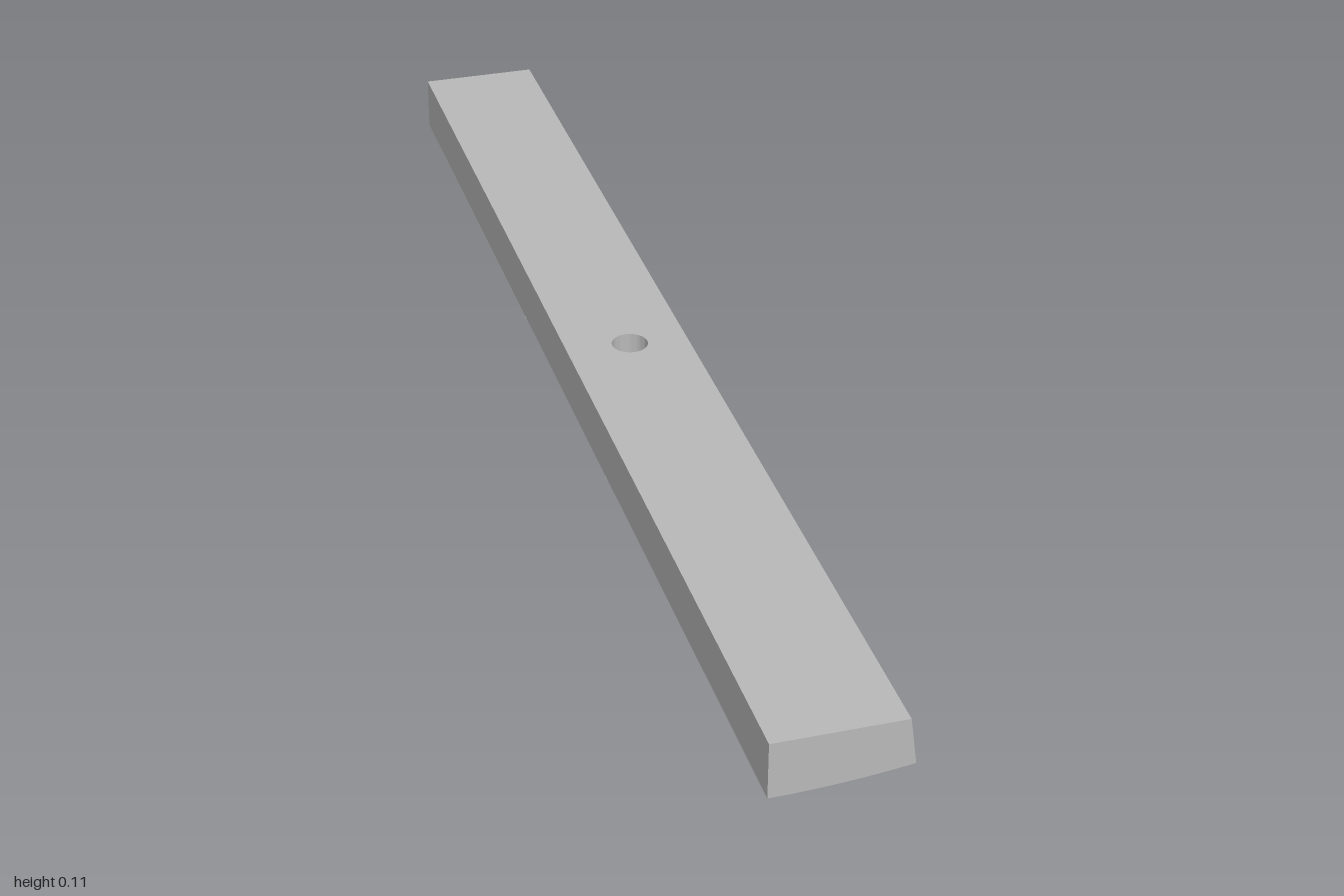
import * as THREE from 'three';
import { toCreasedNormals } from 'three/addons/utils/BufferGeometryUtils.js';

const TOP = 0.115, HOLE_R = 0.028, MID = 0.05, STEPS = 12;

// Height of the gently curved underside at a given x
const under = (x) => 0.028 + 0.014 * ((x + 0.1) / 0.2) ** 2;

// Extrudes a plan (x, z) downwards, then places its upper and lower vertices by rule
function plan(shape, place) {
  const geo = new THREE.ExtrudeGeometry(shape, { depth: 1, bevelEnabled: false, curveSegments: 16 });
  geo.rotateX(Math.PI / 2);
  const p = geo.attributes.position;
  for (let i = 0; i < p.count; i++) {
    const [x, y] = place(p.getX(i), p.getY(i) > -0.5);
    p.setX(i, x);
    p.setY(i, y);
  }
  return toCreasedNormals(geo, 0.5);
}

export function createModel() {
  const group = new THREE.Group();
  const grey = new THREE.MeshStandardMaterial({ color: 0xb8b8b8 });
  grey.name = 'grey';
  const add = (name, geo) => {
    const mesh = new THREE.Mesh(geo, grey);
    mesh.name = name;
    group.add(mesh);
  };
  const xs = Array.from({ length: STEPS + 1 }, (_, i) => -0.1 + 0.2 * i / STEPS);

  // Two long halves of the bar, with one slanted side
  const section = new THREE.Shape([
    ...xs.map((x) => new THREE.Vector2(x, under(x))),
    new THREE.Vector2(0.09, TOP),
    new THREE.Vector2(-0.1, TOP),
  ]);
  for (const [name, z] of [['frontBar', MID], ['backBar', -1]]) {
    const geo = new THREE.ExtrudeGeometry(section, { depth: 1 - MID, bevelEnabled: false });
    add(name, toCreasedNormals(geo.translate(0, 0, z), 0.5));
  }

  // Short middle block with the vertical hole
  const block = new THREE.Shape([
    ...xs.map((x) => new THREE.Vector2(x, -MID)),
    ...[...xs].reverse().map((x) => new THREE.Vector2(x, MID)),
  ]);
  const hole = new THREE.Path();
  hole.absarc(0, 0, HOLE_R, 0, Math.PI * 2, true);
  block.holes.push(hole);
  add('middleBlock', plan(block, (x, upper) => (upper ? [Math.min(x, 0.09), TOP] : [x, under(x)])));

  // Raised details follow the curve of the underside
  const raise = (name, shape) =>
    add(name, plan(shape, (x, upper) => [x, under(x) + (upper ? 0.004 : -0.028)]));

  const rib = (name, x1, z1, x2, z2, w = 0.014) => {
    const a = new THREE.Vector2(x1, z1), b = new THREE.Vector2(x2, z2);
    const d = b.clone().sub(a).normalize().multiplyScalar(w / 2);
    const n = new THREE.Vector2(-d.y, d.x);
    raise(name, new THREE.Shape([a.clone().sub(n), b.clone().sub(n), b.clone().add(n), a.clone().add(n)]));
  };
  const arch = (name, x, z, r, w = 0.013) => {
    const s = new THREE.Shape();
    s.absarc(x, z, r, -Math.PI / 2, Math.PI / 2, false);
    s.absarc(x, z, r - w, Math.PI / 2, -Math.PI / 2, true);
    raise(name, s);
  };
  const peg = (name, x, z, r) => {
    const s = new THREE.Shape();
    s.absarc(x, z, r, 0, Math.PI * 2, false);
    raise(name, s);
  };

  // Pins near the ends and the centre
  rib('backPin', 0.015, -0.947, -0.015, -0.947, 0.032);
  rib('frontPin', 0.015, 0.935, -0.015, 0.935, 0.03);
  rib('centrePin', -0.03, 0.052, -0.06, 0.052, 0.032);

  // Slanted ribs along the straight side
  rib('backSlantedRib', -0.084, -0.31, -0.06, -0.42);
  rib('middleSlantedRib', -0.084, 0.19, -0.06, 0.08);

  // Arched details with small ribs beside them
  arch('backArch', 0, -0.632, 0.036);
  rib('backArchBase', -0.045, -0.585, -0.045, -0.695);
  rib('backArchStem', -0.045, -0.62, -0.085, -0.62);
  rib('backArchSideRib', 0.005, -0.605, -0.045, -0.605);
  arch('middleArch', 0, -0.135, 0.036);
  rib('middleArchSideRib', 0, -0.165, -0.045, -0.165);
  rib('middleArchBase', -0.04, -0.13, -0.04, -0.195);
  rib('middleArchStem', -0.04, -0.1, -0.088, -0.08);

  // Front group of ribs and pegs
  rib('frontSlantedRib', 0.02, 0.43, 0.042, 0.315);
  rib('frontCrossRib', 0.045, 0.308, -0.06, 0.308);
  peg('frontInnerPeg', -0.012, 0.375, 0.019);
  peg('frontOuterPeg', -0.058, 0.375, 0.021);
  rib('frontShortRib', 0.022, 0.678, -0.022, 0.678);

  return group;
}
